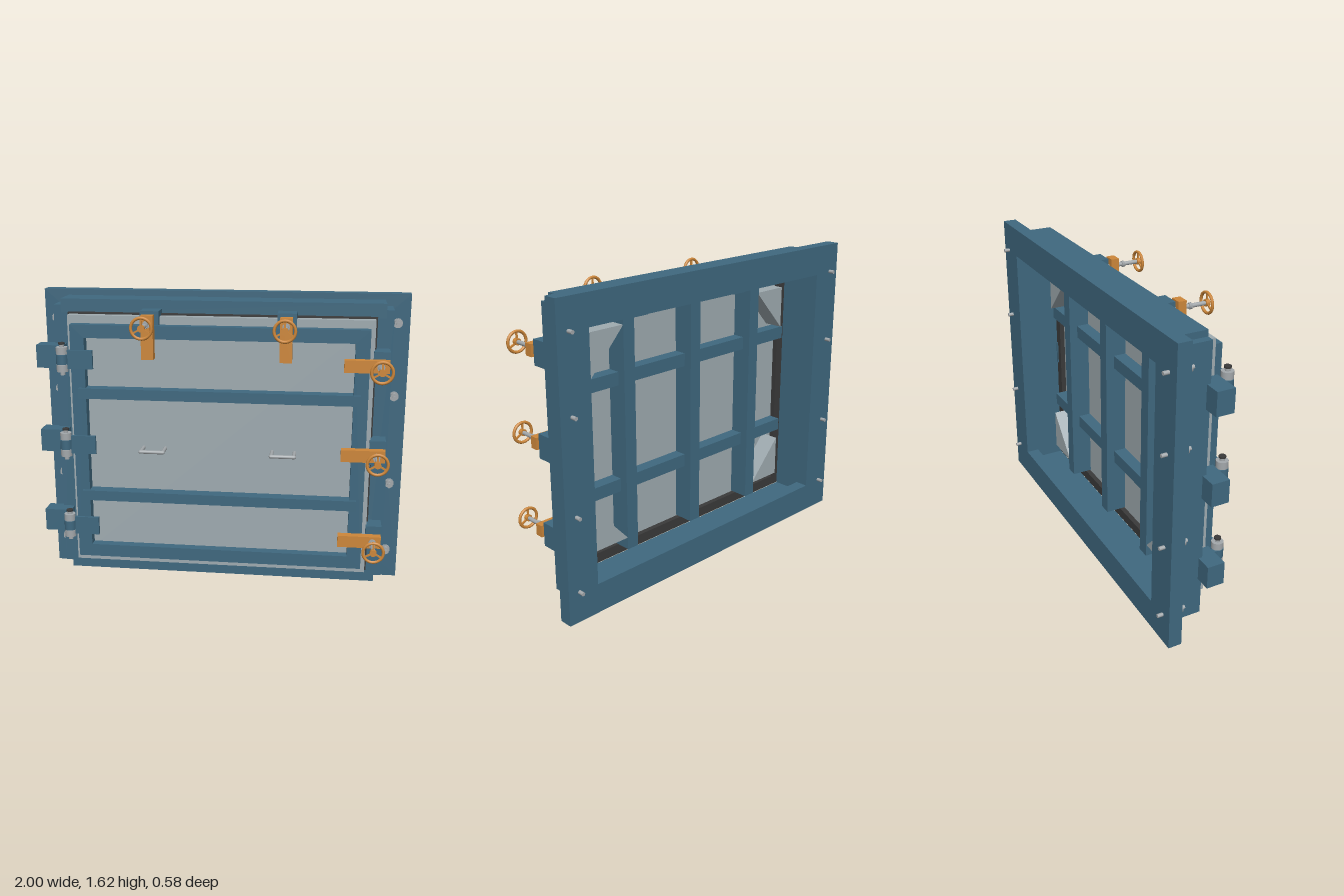
import * as THREE from 'three';

const mat = (color) => new THREE.MeshStandardMaterial({ color });
const M = {
  steel: mat(0x3f687f), panel: mat(0x9fabb0), metal: mat(0xa3a8ab),
  orange: mat(0xcd873a), rubber: mat(0x3a3a3a),
};
const MID = 0.81; // mid height

function add(parent, name, geo, material, x = 0, y = 0, z = 0) {
  const m = new THREE.Mesh(geo, material);
  m.name = name;
  m.position.set(x, y, z);
  parent.add(m);
  return m;
}

// Box given by its limits on each axis
function box(parent, name, material, x0, x1, y0, y1, z0, z1) {
  return add(parent, name, new THREE.BoxGeometry(x1 - x0, y1 - y0, z1 - z0), material,
    (x0 + x1) / 2, (y0 + y1) / 2, (z0 + z1) / 2);
}

// Cylinder along z between z0 and z1
function rodZ(parent, name, material, r, x, y, z0, z1, sides = 16) {
  const geo = new THREE.CylinderGeometry(r, r, z1 - z0, sides).rotateX(Math.PI / 2);
  return add(parent, name, geo, material, x, y, (z0 + z1) / 2);
}

// Rectangular ring: outer and inner limits, extruded from z0 to z1
function ring(parent, name, material, ox, oy0, oy1, ix, iy0, iy1, z0, z1) {
  const rect = (P, x, y0, y1) => {
    const p = new P();
    p.moveTo(-x, y0); p.lineTo(x, y0); p.lineTo(x, y1); p.lineTo(-x, y1); p.closePath();
    return p;
  };
  const shape = rect(THREE.Shape, ox, oy0, oy1);
  shape.holes.push(rect(THREE.Path, ix, iy0, iy1));
  const geo = new THREE.ExtrudeGeometry(shape, { depth: z1 - z0, bevelEnabled: false });
  return add(parent, name, geo, material, 0, 0, z0);
}

// Clamp pointing along local -x, with its spindle at the local origin
function makeClamp() {
  const g = new THREE.Group();
  g.name = 'clamp';
  box(g, 'clampBracket', M.steel, -0.035, 0.05, -0.065, 0.065, -0.035, 0.072);
  box(g, 'clampBar', M.orange, -0.185, 0.045, -0.032, 0.032, 0.1, 0.145);
  rodZ(g, 'spindle', M.metal, 0.011, 0, 0, 0.05, 0.29);
  rodZ(g, 'spindleCollar', M.metal, 0.02, 0, 0, 0.145, 0.153);
  rodZ(g, 'spindleNut', M.metal, 0.017, 0, 0, 0.176, 0.192, 6);
  return g;
}

// Three-spoke handwheel
function makeWheel() {
  const g = new THREE.Group();
  g.name = 'handwheel';
  add(g, 'wheelRim', new THREE.TorusGeometry(0.053, 0.008, 8, 28), M.orange);
  rodZ(g, 'wheelHub', M.orange, 0.018, 0, 0, -0.011, 0.011);
  for (let i = 0; i < 3; i++) {
    const a = Math.PI / 2 + i * Math.PI * 2 / 3;
    const s = add(g, 'wheelSpoke', new THREE.BoxGeometry(0.05, 0.009, 0.008), M.orange,
      Math.cos(a) * 0.028, Math.sin(a) * 0.028, 0);
    s.rotation.z = a;
  }
  return g;
}

function makeHinge(y) {
  const g = new THREE.Group();
  g.name = 'hinge';
  g.position.set(-0.83, y, 0.105);
  const cyl = (name, material, r, y0, y1) =>
    add(g, name, new THREE.CylinderGeometry(r, r, y1 - y0, 20), material, 0, (y0 + y1) / 2, 0);
  box(g, 'hingeBlock', M.steel, -0.16, -0.01, -0.062, 0.062, -0.155, -0.06);
  box(g, 'hingeLug', M.steel, -0.028, 0.0, -0.026, 0.026, -0.08, 0);
  box(g, 'hingeLeaf', M.steel, 0, 0.165, -0.05, 0.05, -0.01, 0.008);
  cyl('middleKnuckle', M.steel, 0.032, -0.026, 0.026);
  cyl('upperKnuckle', M.metal, 0.031, 0.028, 0.066);
  cyl('lowerKnuckle', M.metal, 0.031, -0.066, -0.028);
  cyl('hingePin', M.metal, 0.013, -0.085, 0.08);
  cyl('pinHead', M.rubber, 0.018, 0.08, 0.09);
  return g;
}

export function createModel() {
  const root = new THREE.Group();
  root.name = 'hatch';

  // Fixed frame: wall flange, then a deep casing with notched corners
  const frame = new THREE.Group();
  frame.name = 'frame';
  root.add(frame);
  ring(frame, 'wallFlange', M.steel, 1, 0, 1.62, 0.82, 0.16, 1.46, -0.262, -0.19);
  for (const s of [-1, 1]) {
    box(frame, 'casingSide', M.steel, s > 0 ? 0.82 : -0.905, s > 0 ? 0.905 : -0.82, 0.07, 1.555, -0.19, -0.03);
    const y = MID + s * 0.74;
    box(frame, 'casingRail', M.steel, -0.865, 0.865, y - 0.038, y + 0.038, -0.19, -0.0295);
  }
  ring(frame, 'seal', M.rubber, 0.82, 0.11, 1.52, 0.77, 0.165, 1.46, -0.03, 0);

  // Flange bolts
  for (const x of [-0.935, 0.935]) for (const y of [0.165, 0.565, 1.065, 1.465]) {
    rodZ(frame, 'boltShank', M.metal, 0.01, x, y, -0.292, -0.14);
    rodZ(frame, 'boltWasher', M.metal, 0.026, x, y, -0.19, -0.18);
    rodZ(frame, 'boltNut', M.metal, 0.022, x, y, -0.18, -0.155, 6);
  }

  // Door leaf with front border and stiffeners
  const door = new THREE.Group();
  door.name = 'door';
  root.add(door);
  box(door, 'doorPanel', M.panel, -0.81, 0.81, 0.118, 1.512, -0.002, 0.048);
  ring(door, 'doorBorder', M.steel, 0.785, 0.16, 1.47, 0.71, 0.23, 1.4, 0.048, 0.1);
  for (const y of [0.527, 1.103]) {
    box(door, 'frontStiffener', M.steel, -0.747, 0.747, y - 0.028, y + 0.028, 0.048, 0.117);
    box(door, 'rearCrossbar', M.steel, -0.765, 0.765, y - 0.035, y + 0.035, -0.07, 0);
  }
  for (const x of [-0.46, 0, 0.46])
    box(door, 'rearUpright', M.steel, x - 0.035, x + 0.035, 0.17, 1.455, -0.115, 0);

  // Triangular gussets at the rear corners
  for (const sx of [-1, 1]) for (const sy of [-1, 1]) {
    const x = sx * 0.7, y = MID + sy * 0.575;
    const tri = new THREE.Shape([[x, y], [x - sx * 0.21, y], [x, y - sy * 0.23]]
      .map(([a, b]) => new THREE.Vector2(a, b)));
    add(door, 'cornerGusset', new THREE.ExtrudeGeometry(tri, { depth: 0.11, bevelEnabled: false }), M.panel, 0, 0, -0.11);
  }

  // Pull handles
  for (const x of [-0.352, 0.35]) {
    const bar = add(door, 'pullHandle', new THREE.CapsuleGeometry(0.01, 0.124, 4, 12), M.metal, x, 0.795, 0.135);
    bar.rotation.z = Math.PI / 2;
    for (const s of [-1, 1]) rodZ(door, 'handleLeg', M.metal, 0.01, x + s * 0.06, 0.795, 0.04, 0.135, 12);
  }

  // Hinges on the right edge
  for (const y of [0.345, 0.815, 1.285]) root.add(makeHinge(y));

  // Clamps: three on the left edge, two along the top
  const spots = [[0.84, 0.335, 0], [0.84, 0.815, 0], [0.84, 1.29, 0],
    [-0.362, 1.485, Math.PI / 2], [0.357, 1.485, Math.PI / 2]];
  for (const [x, y, turn] of spots) {
    const clamp = makeClamp();
    clamp.position.set(x, y, 0);
    clamp.rotation.z = turn;
    if (turn) {
      clamp.children[0].scale.set(1, 0.77, 1);
      clamp.children[0].position.x += 0.008;
      box(root, 'clampStop', M.steel, x - 0.045, x + 0.045, 1.4, 1.45, -0.09, 0);
    }
    const wheel = makeWheel();
    wheel.position.set(x, y, 0.28);
    root.add(clamp, wheel);
  }
  return root;
}
